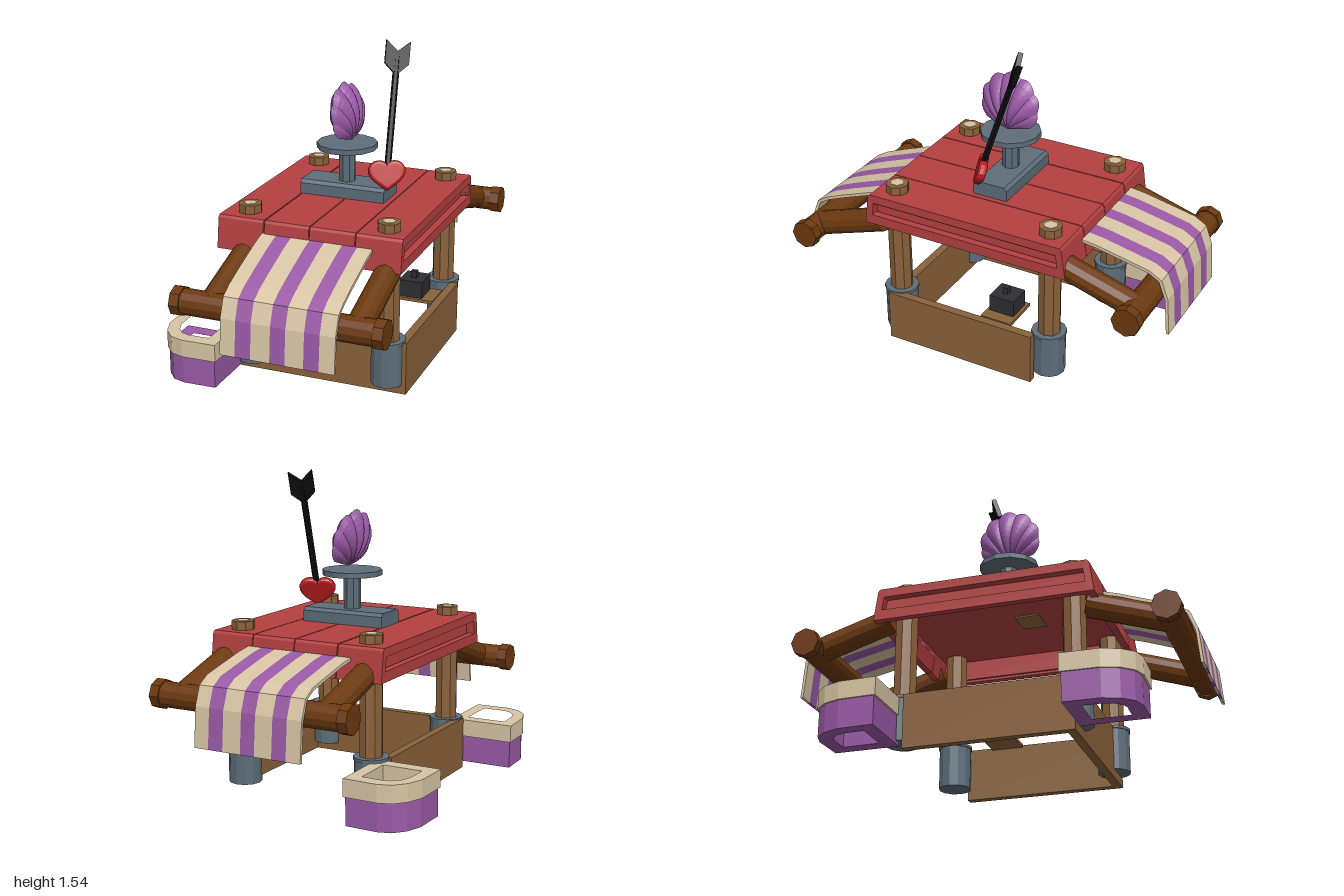
import * as THREE from 'three';

const mat = (name, color) => {
  const m = new THREE.MeshStandardMaterial({ color });
  m.name = name;
  return m;
};

export function createModel() {
  const red = mat('roof red', 0xb44041);
  const cream = mat('cream', 0xd8c5a5);
  const purple = mat('purple', 0x9a5aa6);
  const wood = mat('light wood', 0x8a623b);
  const darkWood = mat('dark wood', 0x6c390f);
  const steel = mat('blue grey', 0x5d6d79);
  const heartRed = mat('heart red', 0xb81c20);
  const black = mat('black', 0x0e0e0f);
  const charcoal = mat('charcoal', 0x2e2e33);

  const model = new THREE.Group();
  // The stall stands turned a little about the vertical axis
  const stall = new THREE.Group();
  stall.name = 'stall';
  stall.position.set(0.06, 0, 0);
  stall.rotation.y = 0.16;
  model.add(stall);

  const add = (parent, name, geo, material, x = 0, y = 0, z = 0) => {
    const g = geo.index ? geo.toNonIndexed() : geo;
    g.computeVertexNormals();
    const m = new THREE.Mesh(g, material);
    m.name = name;
    m.position.set(x, y, z);
    parent.add(m);
    return m;
  };
  const box = (parent, name, material, x0, x1, y0, y1, z0, z1) =>
    add(parent, name, new THREE.BoxGeometry(x1 - x0, y1 - y0, z1 - z0), material,
      (x0 + x1) / 2, (y0 + y1) / 2, (z0 + z1) / 2);
  const post = (parent, name, material, r, y0, y1, x, z, sides = 8) =>
    add(parent, name, new THREE.CylinderGeometry(r, r, y1 - y0, sides), material, x, (y0 + y1) / 2, z);
  // Round bar between two points
  const bar = (parent, name, material, a, b, r, sides = 12) => {
    const p = new THREE.Vector3(...a), q = new THREE.Vector3(...b);
    const d = q.clone().sub(p);
    const m = add(parent, name, new THREE.CylinderGeometry(r, r, d.length(), sides), material);
    m.position.copy(p).add(q).multiplyScalar(0.5);
    m.quaternion.setFromUnitVectors(new THREE.Vector3(0, 1, 0), d.normalize());
    return m;
  };
  const toShape = (pts) => new THREE.Shape(pts.map(([x, y]) => new THREE.Vector2(x, y)));
  // Profile of [z, y] points extruded along x
  const extrudeX = (pts, x0, x1) =>
    new THREE.ExtrudeGeometry(toShape(pts), { depth: x1 - x0, bevelEnabled: false })
      .rotateY(-Math.PI / 2).translate(x1, 0, 0);

  // Base boards, open at the back
  box(stall, 'rightBaseBoard', wood, 0.4, 0.441, 0, 0.26, -0.36, 0.427);
  box(stall, 'leftBaseBoard', wood, -0.435, -0.395, 0, 0.26, -0.38, 0.427);
  box(stall, 'frontBaseBoard', wood, -0.395, 0.4, 0, 0.26, 0.385, 0.427);
  // Small dark box on a shelf
  box(stall, 'stoveShelf', wood, 0.2, 0.4, 0.25, 0.266, -0.23, -0.07);
  box(stall, 'stoveBox', charcoal, 0.22, 0.34, 0.266, 0.35, -0.215, -0.085);
  box(stall, 'stoveKnob', charcoal, 0.265, 0.295, 0.35, 0.385, -0.16, -0.135);

  // Corner posts with steel sockets
  for (const sx of [-1, 1]) for (const sz of [-1, 1]) {
    const x = sx * 0.345, z = sz * 0.41;
    post(stall, 'cornerPost', wood, 0.056, 0.05, 0.838, x, z);
    post(stall, 'postCore', cream, 0.032, 0.832, 0.841, x, z, 6);
    post(stall, 'postSocket', steel, 0.08, 0.045, 0.25, x, z, 12);
    post(stall, 'socketRim', steel, 0.085, 0.25, 0.265, x, z, 12);
  }

  // Roof planks with turned-down ends; the first joint is open, the rest are backed
  const plank = [[-0.535, 0.64], [-0.515, 0.785], [-0.505, 0.797], [0.505, 0.797], [0.515, 0.785],
    [0.535, 0.64], [0.5, 0.64], [0.485, 0.755], [-0.485, 0.755], [-0.5, 0.64]];
  const joints = [-0.46, -0.225, 0, 0.225, 0.45];
  for (let i = 0; i < 4; i++) {
    add(stall, 'roofPlank', extrudeX(plank, joints[i], joints[i + 1] - (i ? 0.004 : 0.006)), red);
  }
  box(stall, 'roofBacking', red, -0.222, 0.44, 0.749, 0.757, -0.484, 0.484);
  // Slotted roof sides with a panel set inside
  for (const s of [-1, 1]) {
    const x = s > 0 ? 0.428 : -0.442;
    box(stall, 'roofSideRail', red, x - 0.018, x + 0.018, 0.64, 0.69, -0.5, 0.5);
    box(stall, 'roofSidePanel', red, x - s * 0.03 - 0.006, x - s * 0.03 + 0.006, 0.65, 0.756, -0.49, 0.49);
  }
  box(stall, 'roofPatch', wood, -0.07, 0.07, 0.742, 0.75, 0.04, 0.16);

  // Awnings: arms, cross bar and striped cloth; the back one is turned round
  const stripeEdges = [0, 0.073, 0.148, 0.24, 0.312, 0.4, 0.472, 0.545];
  const awning = (name, turn, lift, shift, armTop, armXs) => {
    const g = new THREE.Group();
    g.name = name;
    g.rotation.y = turn;
    g.position.x = shift;
    stall.add(g);
    const y = 0.5 + lift;
    for (const x of armXs) bar(g, 'awningArm', darkWood, [x, armTop, 0.48], [x, y, 0.865], 0.06);
    for (const s of [-1, 1]) {
      bar(g, 'barEnd', darkWood, [s * 0.46, y, 0.865], [s * 0.508, y, 0.865], 0.07, 8);
    }
    bar(g, 'crossBar', darkWood, [-0.48, y, 0.865], [0.48, y, 0.865], 0.061);
    const top = [[0.49, 0.746], [0.6, 0.713 + lift * 0.3], [0.76, 0.655 + lift * 0.7], [0.86, 0.615 + lift],
      [0.92, 0.58 + lift], [0.955, 0.49 + lift], [0.97, 0.322 + lift * 0.7]];
    const under = top.map(([z, yy], i) => i < 4 ? [z - 0.003, yy - 0.015] : [z - 0.014, yy - (i < 6 ? 0.008 : 0)]);
    const outline = [...top, ...under.reverse()];
    for (let i = 0; i < 7; i++) {
      add(g, 'clothStripe', extrudeX(outline, stripeEdges[i] - 0.238, stripeEdges[i + 1] - 0.238),
        i % 2 ? purple : cream);
    }
  };
  awning('frontAwning', 0, 0, 0, 0.63, [-0.33, 0.37]);
  awning('backAwning', Math.PI, 0.06, 0.008, 0.675, [-0.37, 0.37]);

  // Tubs: straight inner sides, rounded at the outer corner; the back one mirrors the front
  const tubPoints = [[-0.16, 0], [0.16, 0], [0.16, 0.33], [-0.01, 0.335], [-0.075, 0.315],
    [-0.125, 0.26], [-0.155, 0.18]];
  const tubOutline = (inset, s) => {
    const k = 1 - inset / 0.16;
    return tubPoints.map(([x, z]) => [x * k, -s * (0.167 + (z - 0.167) * k)]);
  };
  const tubLayer = (outer, inner, depth, s) => {
    const shape = toShape(tubOutline(outer, s));
    shape.holes.push(new THREE.Path(toShape(tubOutline(inner, s)).getPoints()));
    return new THREE.ExtrudeGeometry(shape, { depth, bevelEnabled: false }).rotateX(-Math.PI / 2);
  };
  for (const s of [-1, 1]) {
    const tub = new THREE.Group();
    tub.name = s > 0 ? 'frontTub' : 'backTub';
    tub.position.set(-0.535, 0, s > 0 ? 0.427 : -0.405);
    stall.add(tub);
    add(tub, 'tubBody', tubLayer(0.008, 0.075, 0.135, s), purple, 0, 0.03, 0);
    add(tub, 'tubFloor', new THREE.ShapeGeometry(toShape(tubOutline(0.07, s))).rotateX(-Math.PI / 2), purple, 0, 0.1, 0);
    add(tub, 'tubRim', tubLayer(0, 0.062, 0.085, s), cream, 0, 0.165, 0);
  }

  // Pedestal on the roof
  const base = [[-0.09, 0.79], [-0.09, 0.85], [-0.075, 0.866], [0.075, 0.866], [0.09, 0.85], [0.09, 0.79]];
  add(stall, 'pedestalBase', extrudeX(base.map(([z, y]) => [z - 0.01, y]).reverse(), -0.235, 0.195), steel);
  post(model, 'pedestalColumn', steel, 0.042, 0.86, 1.035, 0.035, 0);
  post(model, 'pedestalDisc', steel, 0.147, 1.03, 1.056, 0.035, 0, 12);

  // Ribbed fan shell made of two bulging halves
  const shell = new THREE.Group();
  shell.name = 'shell';
  shell.position.set(0.06, 1.07, 0);
  shell.rotation.set(0, 0.06, 0.17);
  model.add(shell);
  for (const s of [-1, 1]) {
    const geo = new THREE.PlaneGeometry(1, 1, 42, 10);
    const p = geo.attributes.position;
    for (let i = 0; i < p.count; i++) {
      const a = -s * p.getX(i) * 2.6, t = p.getY(i) + 0.5;
      const rib = Math.abs(Math.cos(a * 7 * Math.PI / 2.6));
      const r = 0.283 * Math.cos(a * 0.82) * (0.94 + 0.06 * rib) * t;
      const bulge = Math.pow(Math.max(0, Math.sin(Math.PI * t)), 0.75) * Math.cos(a * 1.1);
      p.setXYZ(i, s * 0.062 * bulge * (0.8 + 0.2 * rib), r * Math.cos(a), r * Math.sin(a));
    }
    add(shell, 'shellHalf', geo, purple);
  }

  // Heart
  const h = new THREE.Shape();
  h.moveTo(0, -0.06);
  h.bezierCurveTo(-0.03, -0.04, -0.083, -0.01, -0.074, 0.025);
  h.bezierCurveTo(-0.063, 0.06, -0.015, 0.06, 0, 0.03);
  h.bezierCurveTo(0.015, 0.06, 0.063, 0.06, 0.074, 0.025);
  h.bezierCurveTo(0.083, -0.01, 0.03, -0.04, 0, -0.06);
  const heart = add(model, 'heart', new THREE.ExtrudeGeometry(h, {
    depth: 0.008, bevelThickness: 0.017, bevelSize: 0.015, bevelSegments: 3, curveSegments: 6,
  }).translate(0, 0, -0.004), heartRed, 0.257, 0.93, 0.005);
  heart.rotation.set(-0.3, 0.62, 0, 'YXZ');

  // Arrow stuck in the heart, with one flat notched feather
  const arrow = new THREE.Group();
  arrow.name = 'arrow';
  arrow.position.set(0.257, 0.95, 0);
  arrow.quaternion.setFromUnitVectors(new THREE.Vector3(0, 1, 0),
    new THREE.Vector3(-0.05, 0.56, -0.18).normalize());
  model.add(arrow);
  post(arrow, 'arrowShaft', black, 0.016, 0, 0.54, 0, 0, 6);
  const feather = toShape([[0, 0.45], [0.058, 0.505], [0.058, 0.615], [0, 0.565], [-0.058, 0.615], [-0.058, 0.505]]);
  add(arrow, 'arrowFeather', new THREE.ExtrudeGeometry(feather, { depth: 0.024, bevelEnabled: false })
    .translate(0, 0, -0.012), black).rotation.y = 0.65;
  return model;
}
